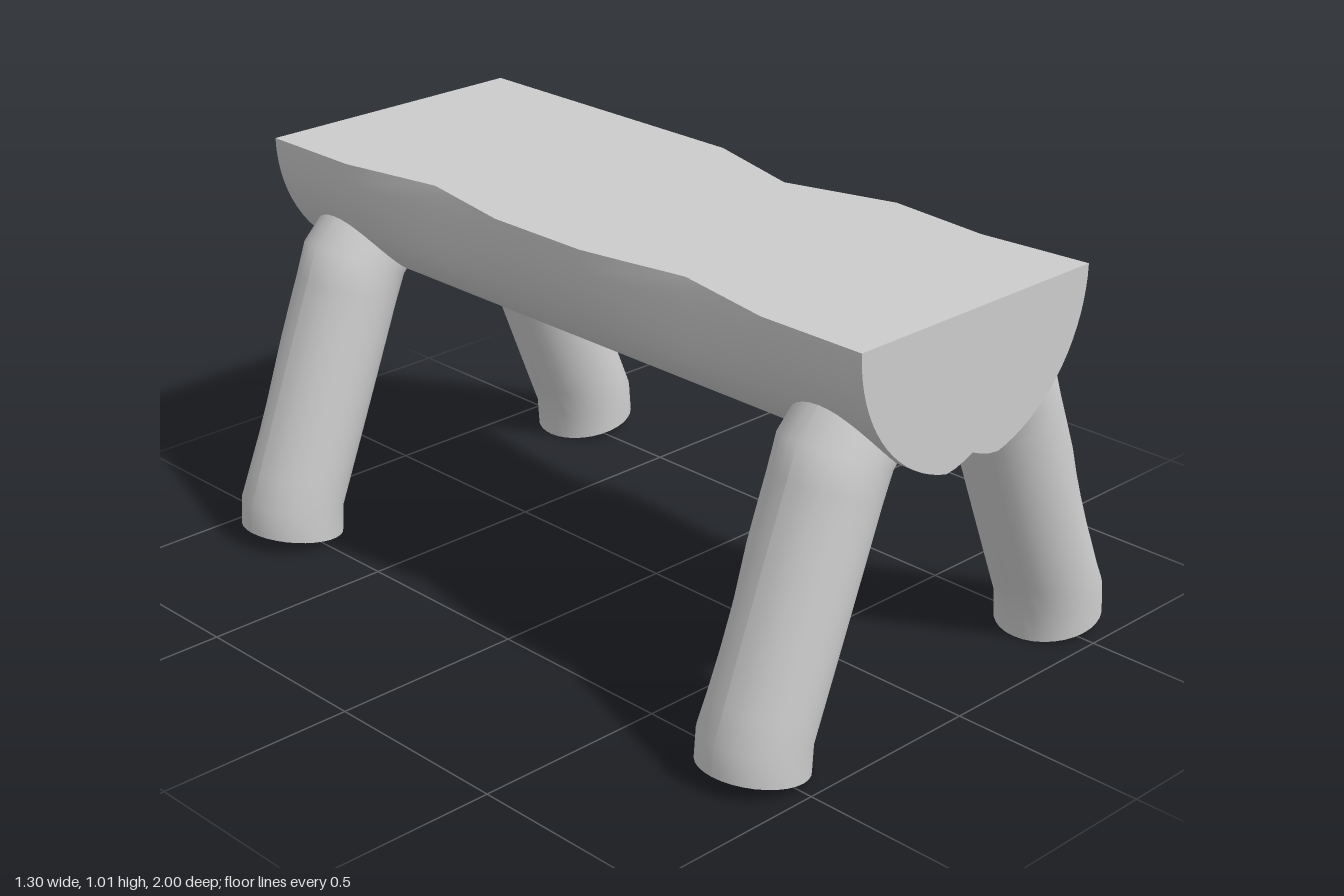
import * as THREE from 'three';

const material = new THREE.MeshStandardMaterial({ color: 0xcccccc });
const TOP = 1.015, R = 0.38;

// Smooth surface through rows of points; front side is (row step) x (column step).
function grid(name, rows) {
  const n = rows[0].length, index = [];
  for (let i = 0; i < rows.length - 1; i++) {
    for (let j = 0; j < n - 1; j++) {
      const a = i * n + j, b = a + n;
      index.push(a, b, b + 1, a, b + 1, a + 1);
    }
  }
  const g = new THREE.BufferGeometry();
  g.setAttribute('position', new THREE.Float32BufferAttribute(rows.flat(2), 3));
  g.setIndex(index);
  g.computeVertexNormals();
  const mesh = new THREE.Mesh(g, material);
  mesh.name = name;
  return mesh;
}

const tent = (v, centre, width) => Math.max(0, 1 - Math.abs(v - centre) / width);

// Hewn dents in the log: [angle, z, angular reach, reach along z, depth]
const dents = [
  [0, 0.14, 0.6, 0.29, 0.083],
  [0, 0.71, 0.5, 0.28, 0.025],
  [Math.PI, -0.43, 0.6, 0.28, 0.052],
  [Math.PI, 0.43, 0.6, 0.28, 0.052],
  [Math.PI / 2, 1, 0.22, 0.4, 0.035],
  [Math.PI / 2, -1, 0.22, 0.4, 0.035],
  [1.3, -0.1, 0.16, 0.55, 0.014],
];

function createSeat() {
  const seat = new THREE.Group();
  seat.name = 'seat';
  const zs = [-1, -0.86, -0.71, -0.57, -0.43, -0.29, -0.15, 0, 0.14, 0.28, 0.43, 0.57, 0.71, 0.86, 1];
  const steps = 40;
  const skin = zs.map((z) => {
    const row = [];
    for (let j = 0; j <= steps; j++) {
      const t = (j / steps) * Math.PI;
      let r = R;
      for (const [a, dz, wa, wz, depth] of dents) r -= depth * tent(t, a, wa) * tent(z, dz, wz);
      row.push([Math.cos(t) * r, TOP - Math.sin(t) * r, z]);
    }
    return row;
  });
  const hub = (z) => skin[0].map(() => [0, TOP, z]);
  seat.add(
    grid('logUnderside', skin),
    grid('seatTop', skin.map((row) => [row[steps], row[0]])),
    grid('frontEnd', [skin[skin.length - 1], hub(1)]),
    grid('backEnd', [hub(-1), skin[0]]),
  );
  return seat;
}

function createLeg(name, side, z) {
  const leg = new THREE.Group();
  leg.name = name;
  // Ring stations: centre x, centre y, direction of the ring's outer point, radius
  const stations = [[0.52, 0.027, 0.17, 0.132], [0.515, 0.102, 0.17, 0.132]];
  for (let i = 1; i < 8; i++) {
    const k = i / 8;
    stations.push([0.515 - 0.237 * k, 0.102 + 0.61 * k, 0.17 + 0.28 * k, 0.132]);
  }
  stations.push([0.278, 0.712, 0.45, 0.134], [0.19, 0.8, 0.78, 0.13]);
  const sides = 32;
  const rings = stations.map(([cx, cy, tilt, r]) => {
    const row = [];
    for (let j = 0; j <= sides; j++) {
      const a = (j / sides) * Math.PI * 2;
      // shallow split along the outer face
      const d = r - 0.016 * tent(a, 0.85, 0.4) * tent(cy, 0.29, 0.2);
      const u = Math.cos(a) * d;
      row.push([cx + u * Math.cos(tilt), cy + u * Math.sin(tilt), Math.sin(a) * d]);
    }
    return row;
  });
  const [cx, cy] = stations[0];
  leg.add(
    grid('legShaft', rings),
    grid('legFoot', [rings[0].map(() => [cx, cy, 0]), rings[0]]),
  );
  leg.rotation.y = side > 0 ? 0 : Math.PI;
  leg.position.z = z;
  return leg;
}

export function createModel() {
  const bench = new THREE.Group();
  bench.name = 'logBench';
  bench.add(createSeat());
  for (const [sideName, side] of [['Left', 1], ['Right', -1]]) {
    bench.add(createLeg('front' + sideName + 'Leg', side, 0.842));
    bench.add(createLeg('back' + sideName + 'Leg', side, -0.828));
  }
  return bench;
}
